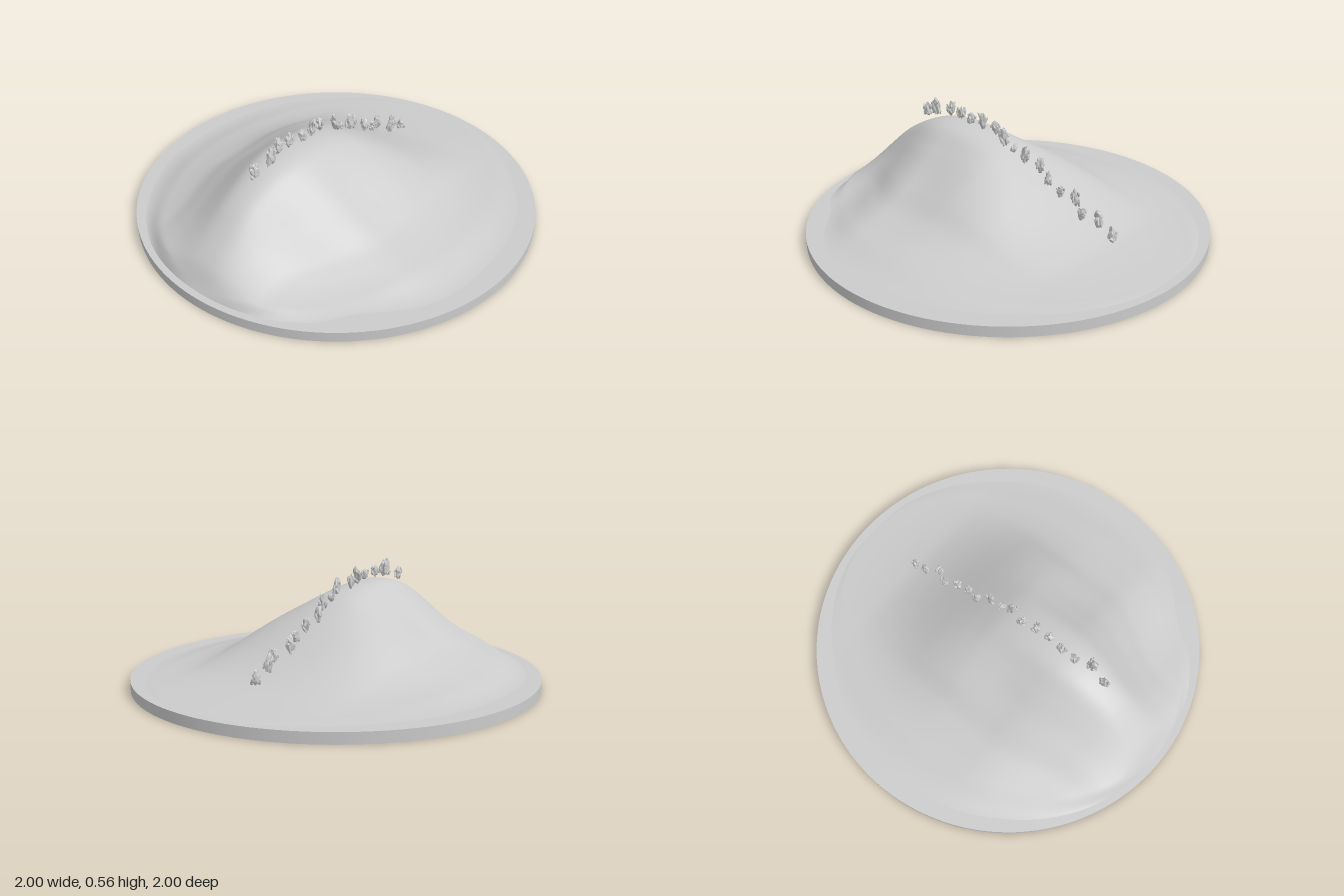
import * as THREE from 'three';
import { mergeGeometries } from 'three/addons/utils/BufferGeometryUtils.js';

const BASE_TOP = 0.05;
const HILL_RADIUS = 0.97;

// Ridge height above the base, from x = -1 to 1 in steps of 0.1
const RIDGE = [-0.02, 0.105, 0.2, 0.285, 0.345, 0.388, 0.41, 0.413, 0.405, 0.388, 0.358,
  0.308, 0.25, 0.189, 0.131, 0.082, 0.045, 0.026, 0.014, 0.006, 0];
// Cross profiles from the ridge outwards, in steps of 0.1
const SHARP = [1, 0.955, 0.78, 0.59, 0.43, 0.28, 0.19, 0.12, 0.07, 0.03, 0];
const SHOULDER = [1, 0.975, 0.91, 0.79, 0.6, 0.36, 0.22, 0.14, 0.08, 0.03, 0];

// Smooth interpolation in an evenly spaced table; mirrored at its start
function sample(table, t) {
  const last = table.length - 1;
  const u = THREE.MathUtils.clamp(t, 0, last - 1e-6);
  const i = Math.floor(u), f = u - i;
  const at = (k) => table[Math.min(Math.abs(k), last)];
  const a = at(i - 1), b = at(i), c = at(i + 1), d = at(i + 2);
  return b + 0.5 * f * (c - a + f * (2 * a - 5 * b + 4 * c - d + f * (3 * (b - c) + d - a)));
}

function hillHeight(x, z) {
  const step = THREE.MathUtils.smoothstep;
  const narrow = z > 0 ? 0.6 : 0.8;
  const width = narrow + (1 - narrow) * step(x, -0.75, -0.3);
  const t = (Math.abs(z) / width) * 10;
  const blend = step(x, -0.3, 0.25);
  const cross = sample(SHARP, t) * (1 - blend) + sample(SHOULDER, t) * blend;
  const limit = Math.sqrt(Math.max(HILL_RADIUS ** 2 - x * x, 1e-4));
  const fade = 1 - step(Math.abs(z) / limit, 0.75, 1);
  return BASE_TOP - 0.002 + Math.max(0, sample(RIDGE, (x + 1) * 10)) * cross * fade;
}

// Seeded random numbers
function seeded(seed) {
  let s = seed;
  return () => {
    s = (s * 16807) % 2147483647;
    return s / 2147483647;
  };
}

// One angular lump with corners pushed in and out by a rule
function lump(seed, detail) {
  const geo = new THREE.IcosahedronGeometry(1, detail);
  const p = geo.attributes.position;
  const v = new THREE.Vector3();
  for (let i = 0; i < p.count; i++) {
    v.fromBufferAttribute(p, i);
    const n = Math.sin(v.x * 7.1 + seed * 3.7) + Math.sin(v.y * 8.3 + seed * 5.9) + Math.sin(v.z * 6.7 + seed * 2.3);
    v.multiplyScalar(0.85 + 0.13 * n);
    p.setXYZ(i, v.x, v.y, v.z);
  }
  return geo;
}

// Jagged rock: an upright core with smaller shards around it
function rockGeometry(seed, w, h, d) {
  const rand = seeded(seed * 7919 + 17);
  for (let i = 0; i < 5; i++) rand();
  const parts = [lump(seed, 1).scale(w * 0.36, h * 0.46, d * 0.36)];
  for (let i = 0; i < 7; i++) {
    const a = i * 2.4 + rand();
    const up = (rand() - 0.5) * 0.55;
    const size = 0.7 + rand() * 0.5;
    parts.push(lump(seed + i * 1.3, 0)
      .scale(w * 0.17 * size, h * 0.25 * size, d * 0.17 * size)
      .rotateZ((rand() - 0.5) * 0.9)
      .rotateX((rand() - 0.5) * 0.9)
      .translate(Math.cos(a) * w * 0.3, up * h, Math.sin(a) * d * 0.3));
  }
  const geo = mergeGeometries(parts);
  geo.computeVertexNormals();
  return geo;
}

export function createModel() {
  const model = new THREE.Group();
  const smooth = new THREE.MeshStandardMaterial({ color: 0xcccccc });
  const faceted = new THREE.MeshStandardMaterial({ color: 0xcccccc, flatShading: true });

  // Round base plate
  const base = new THREE.Mesh(new THREE.CylinderGeometry(1, 1, BASE_TOP, 128), smooth);
  base.name = 'basePlate';
  base.position.y = BASE_TOP / 2;
  model.add(base);

  // Hill: a disc raised by the ridge and its cross profiles
  const disc = new THREE.RingGeometry(0, HILL_RADIUS, 160, 80).rotateX(-Math.PI / 2);
  const p = disc.attributes.position;
  for (let i = 0; i < p.count; i++) p.setY(i, hillHeight(p.getX(i), p.getZ(i)));
  disc.computeVertexNormals();
  const hill = new THREE.Mesh(disc, smooth);
  hill.name = 'hill';
  model.add(hill);

  // Row of rocks along the ridge: x, centre y, z, height, width
  const rocks = [
    [-0.575, 0.465, 0, 0.09, 0.06], [-0.485, 0.505, 0.02, 0.12, 0.065], [-0.405, 0.505, -0.01, 0.105, 0.055],
    [-0.33, 0.5, -0.01, 0.075, 0.06], [-0.25, 0.495, 0, 0.075, 0.06], [-0.175, 0.495, -0.005, 0.1, 0.05],
    [-0.1, 0.475, -0.02, 0.09, 0.055], [-0.02, 0.46, 0.01, 0.11, 0.055], [0.04, 0.405, 0, 0.05, 0.035],
    [0.11, 0.395, 0, 0.1, 0.06], [0.18, 0.35, -0.03, 0.1, 0.05], [0.25, 0.305, -0.01, 0.085, 0.05],
    [0.325, 0.26, -0.01, 0.06, 0.055], [0.395, 0.24, -0.035, 0.1, 0.055], [0.465, 0.195, 0.005, 0.08, 0.055],
    [0.54, 0.175, -0.03, 0.11, 0.055], [0.62, 0.13, -0.025, 0.085, 0.06],
  ];
  const row = new THREE.Group();
  row.name = 'ridgeRocks';
  rocks.forEach(([x, y, z, h, w], i) => {
    const rock = new THREE.Mesh(rockGeometry(i + 1, w, h, 0.048), faceted);
    rock.name = 'rock' + (i + 1);
    rock.position.set(x, y, z);
    rock.rotation.z = Math.sin(i * 2.1) * 0.15;
    row.add(rock);
  });
  model.add(row);
  return model;
}
